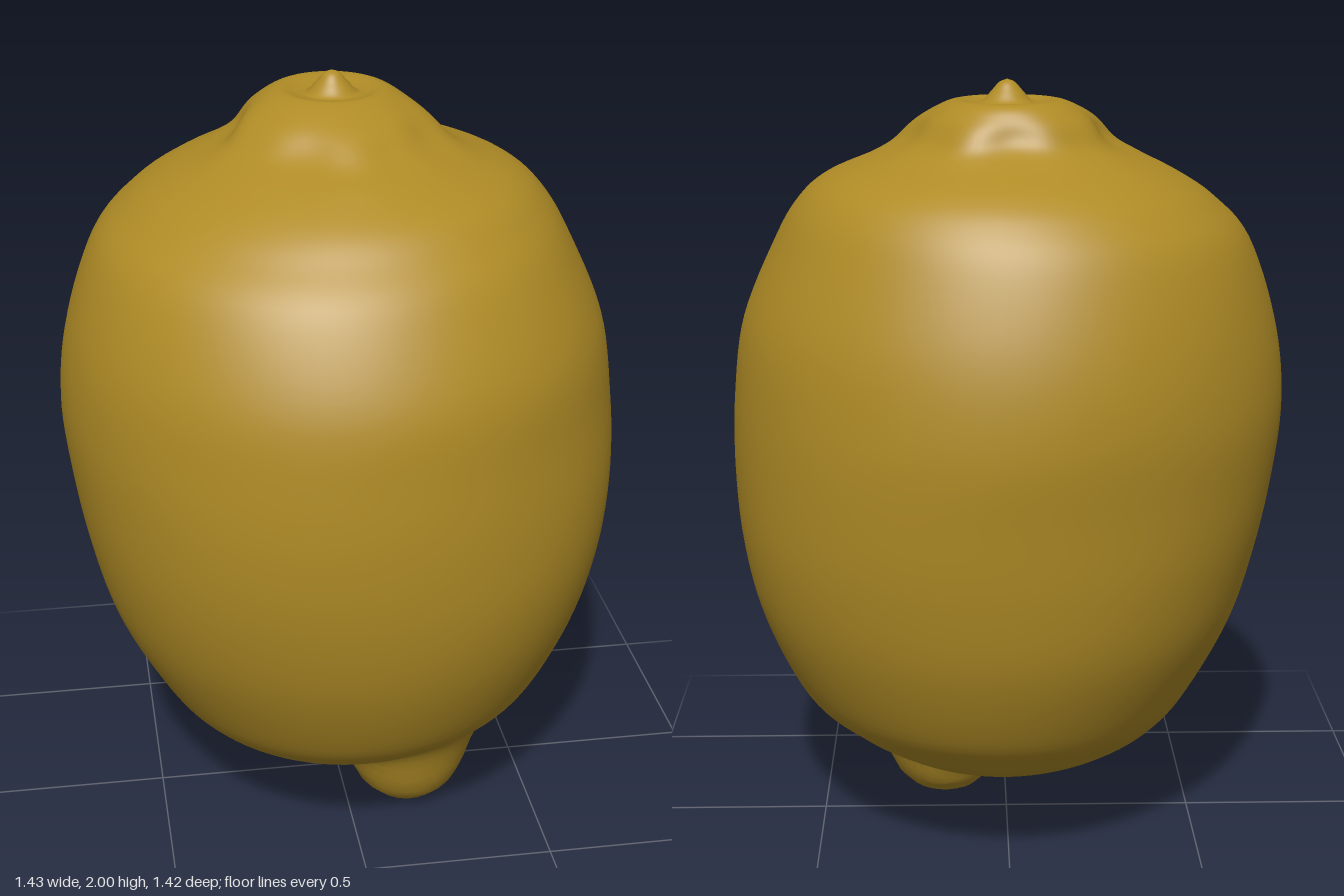
import * as THREE from 'three';

// Cross-sections of the fruit from bottom to top: y, left x, right x, back z, front z
const SECTIONS = [
  [0.135, -0.001, 0.001, -0.001, 0.001],
  [0.14, -0.08, 0.08, -0.08, 0.08],
  [0.16, -0.16, 0.17, -0.15, 0.16],
  [0.2, -0.26, 0.28, -0.26, 0.28],
  [0.25, -0.35, 0.37, -0.36, 0.37],
  [0.31, -0.43, 0.46, -0.445, 0.46],
  [0.4, -0.5, 0.555, -0.525, 0.54],
  [0.6, -0.605, 0.65, -0.62, 0.635],
  [0.8, -0.665, 0.7, -0.67, 0.69],
  [1.0, -0.7, 0.715, -0.695, 0.71],
  [1.2, -0.715, 0.705, -0.71, 0.705],
  [1.4, -0.69, 0.675, -0.69, 0.68],
  [1.6, -0.62, 0.59, -0.63, 0.59],
  [1.7, -0.53, 0.53, -0.57, 0.5],
  [1.76, -0.44, 0.46, -0.5, 0.43],
  [1.81, -0.34, 0.34, -0.4, 0.33],
  [1.85, -0.27, 0.27, -0.34, 0.23],
  [1.91, -0.215, 0.21, -0.305, 0.14],
  [1.95, -0.14, 0.14, -0.26, 0.04],
  [1.945, -0.09, 0.09, -0.18, 0.0],
  [1.945, -0.065, 0.065, -0.155, -0.025],
  [1.97, -0.04, 0.04, -0.13, -0.05],
  [1.992, -0.02, 0.02, -0.11, -0.07],
  [2.0, -0.001, 0.001, -0.091, -0.089],
];

// Height of the bottom nub's surface at distance d from its axis
const NUB = [[0, 0], [0.05, 0.006], [0.09, 0.022], [0.13, 0.06], [0.16, 0.12], [0.18, 0.19], [0.21, 0.27], [0.3, 0.45]];
function nubHeight(d) {
  for (let i = 1; i < NUB.length; i++) {
    const [d0, y0] = NUB[i - 1], [d1, y1] = NUB[i];
    if (d <= d1) return y0 + (y1 - y0) * (d - d0) / (d1 - d0);
  }
  return 9;
}

// Blend two heights, keeping the lower one with a soft crease
function softMin(a, b, k) {
  const h = Math.max(k - Math.abs(a - b), 0) / k;
  return Math.min(a, b) - h * h * k * 0.25;
}

function buildRind() {
  const SIDES = 96, STEPS = 6;
  const rings = (SECTIONS.length - 1) * STEPS;
  const low = new THREE.CatmullRomCurve3(SECTIONS.map(s => new THREE.Vector3(s[1], s[0], s[3])), false, 'catmullrom', 0.5);
  const high = new THREE.CatmullRomCurve3(SECTIONS.map(s => new THREE.Vector3(s[2], s[0], s[4])), false, 'catmullrom', 0.5);
  const positions = [], index = [];
  for (let i = 0; i <= rings; i++) {
    const a = low.getPoint(i / rings), b = high.getPoint(i / rings);
    // Puckering is confined to the collar, gentle lumps to the flanks
    const collar = Math.exp(-(((a.y - 1.87) / 0.05) ** 2));
    const flank = Math.exp(-(((a.y - 1.0) / 0.45) ** 2));
    for (let j = 0; j < SIDES; j++) {
      const t = j / SIDES * Math.PI * 2;
      const swell = 1 + collar * (0.04 * Math.sin(5 * t + 0.6) + 0.02 * Math.sin(9 * t))
        + flank * 0.004 * Math.sin(4 * t + a.y * 6);
      const x = (a.x + b.x) / 2 + (b.x - a.x) / 2 * swell * Math.cos(t);
      const z = (a.z + b.z) / 2 + (b.z - a.z) / 2 * swell * Math.sin(t);
      let y = a.y;
      if (y < 0.6) y = Math.max(0, softMin(y, nubHeight(Math.hypot(x - 0.17, z - 0.145)), 0.06));
      positions.push(x, y, z);
      if (i < rings) {
        const p = i * SIDES + j, q = i * SIDES + (j + 1) % SIDES;
        index.push(p, p + SIDES, q, q, p + SIDES, q + SIDES);
      }
    }
  }
  const geometry = new THREE.BufferGeometry();
  geometry.setAttribute('position', new THREE.Float32BufferAttribute(positions, 3));
  geometry.setIndex(index);
  geometry.computeVertexNormals();
  return geometry;
}

export function createModel() {
  const group = new THREE.Group();
  group.name = 'lemon';
  const lemonYellow = new THREE.MeshStandardMaterial({ color: 0xb08c26 });
  lemonYellow.name = 'lemon yellow';
  const rind = new THREE.Mesh(buildRind(), lemonYellow);
  rind.name = 'rind';
  group.add(rind);
  return group;
}
